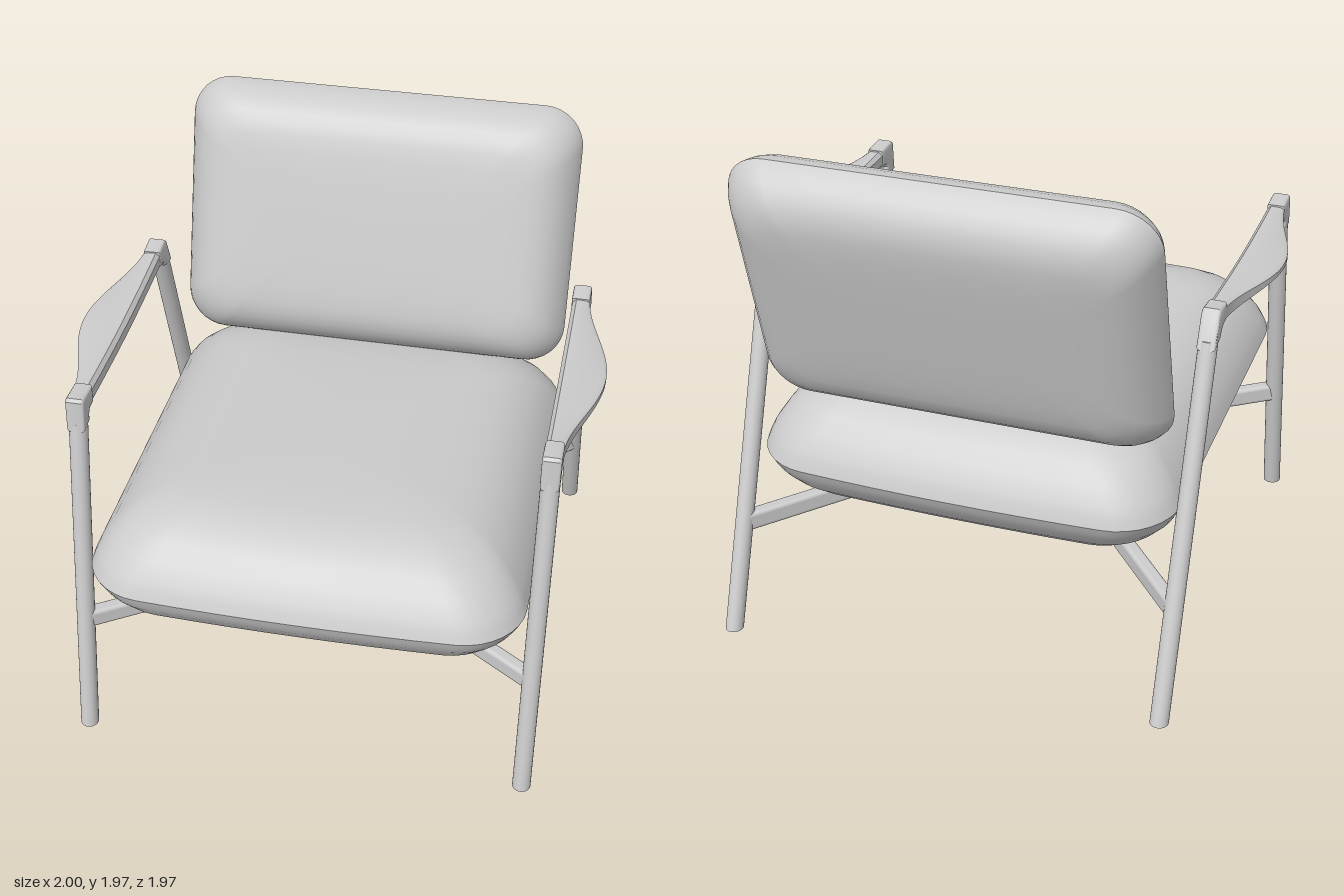
import * as THREE from 'three';
import { mergeGeometries, toCreasedNormals } from 'three/addons/utils/BufferGeometryUtils.js';
import { RoundedBoxGeometry } from 'three/addons/geometries/RoundedBoxGeometry.js';

const V = (x, y, z) => new THREE.Vector3(x, y, z);

// Skin a list of equal-length rings; the ends are closed with fans
function loft(rings, { flip = false, startCap = false } = {}) {
  const n = rings[0].length, pts = rings.flat(), index = [];
  const tri = (a, b, c) => index.push(...(flip ? [a, c, b] : [a, b, c]));
  for (let i = 0; i < rings.length - 1; i++) {
    for (let j = 0; j < n; j++) {
      const k = (j + 1) % n, a = i * n + j, b = i * n + k;
      tri(a, b, a + n);
      tri(b, b + n, a + n);
    }
  }
  const cap = (ring, base, reverse) => {
    const c = ring.reduce((s, p) => s.add(p), V(0, 0, 0)).divideScalar(n);
    const ci = pts.push(c) - 1;
    for (let j = 0; j < n; j++) {
      const a = base + j, b = base + (j + 1) % n;
      reverse ? tri(b, a, ci) : tri(a, b, ci);
    }
  };
  cap(rings.at(-1), (rings.length - 1) * n, false);
  if (startCap) cap(rings[0], 0, true);
  const geo = new THREE.BufferGeometry().setFromPoints(pts);
  geo.setIndex(index);
  geo.computeVertexNormals();
  return geo;
}

// Rounded rectangle outline with subdivided sides, as [u, v] pairs
function roundedRect(a, b, r) {
  const out = [], steps = 8;
  const corner = (k, i) => {
    const t = (k + i / steps) * Math.PI / 2;
    const sx = k === 0 || k === 3 ? 1 : -1, sy = k < 2 ? 1 : -1;
    return [sx * (a - r) + r * Math.cos(t), sy * (b - r) + r * Math.sin(t)];
  };
  for (let k = 0; k < 4; k++) {
    for (let i = 0; i <= steps; i++) out.push(corner(k, i));
    const p = corner(k, steps), q = corner((k + 1) % 4, 0);
    for (let i = 1; i < steps; i++) {
      const t = i / steps;
      out.push([p[0] + (q[0] - p[0]) * t, p[1] + (q[1] - p[1]) * t]);
    }
  }
  return out;
}

// Cushion swelling up and down from a crisp seam
const SWELL = [[0, 0], [0.012, 0.12], [0.03, 0.26], [0.07, 0.47], [0.12, 0.65], [0.18, 0.79],
  [0.25, 0.89], [0.33, 0.945], [0.45, 0.98], [0.6, 0.995], [0.78, 1]];
function cushion(a, b, r, up, down, insetScale, bulge) {
  const half = (h) => loft(SWELL.map(([d, f]) => {
    const inset = d * insetScale;
    const w = a - inset, l = b - inset;
    const rad = Math.min(Math.max(0.1, r - inset * 0.3), w * 0.95, l * 0.95);
    return roundedRect(w, l, rad).map(([u, v]) =>
      V(u, h * f, -v - bulge * (1 - (u / a) ** 2) * v / b));
  }), { flip: h < 0 });
  return mergeGeometries([half(up), half(-down)]);
}

// Round leg with level ends, slanted from z0 on the floor to z1 at the top
function leg(z0, z1, height, radius) {
  const geo = new THREE.CylinderGeometry(radius, radius, height, 24);
  geo.translate(0, height / 2, 0);
  const p = geo.attributes.position;
  for (let i = 0; i < p.count; i++) {
    p.setZ(i, p.getZ(i) * 1.04 + z0 + (z1 - z0) * p.getY(i) / height);
  }
  geo.computeVertexNormals();
  return geo;
}

// Armrest: square at the ends, flaring outward to a thin wing in the middle
function armrest(side) {
  const rings = [], n = 32, z0 = -0.43, z1 = 0.645;
  for (let i = 0; i <= n; i++) {
    const t = i / n, z = z0 + (z1 - z0) * t;
    const s = THREE.MathUtils.clamp((z - 0.1) / 0.5, -1, 1);
    const b = 0.5 + 0.5 * Math.cos(Math.PI * s), q = Math.sin(Math.PI * t);
    const xi = 0.828, xo = 0.893 + 0.107 * b;
    const yt = 1.437 - 0.019 * q, yb = 1.365 - 0.017 * q;
    const tipLow = THREE.MathUtils.lerp(yb + 0.014, yt - 0.03, b);
    rings.push([
      [xi, yb + 0.015], [xi + 0.015, yb], [0.878 + 0.01 * b, yb],
      [THREE.MathUtils.lerp(0.888, 0.935, b), THREE.MathUtils.lerp(yb + 0.006, yb + 0.02, b)],
      [xo, tipLow], [xo, yt - 0.012], [xo - 0.014, yt - 0.002],
      [xi + 0.015, yt], [xi, yt - 0.015],
    ].map(([x, y]) => V(side * x, y, z)));
  }
  return toCreasedNormals(loft(rings, { flip: side < 0, startCap: true }), 0.65);
}

// Elbow between leg and armrest, drawn in the side plane as [z, y]
function elbow(points) {
  const shape = new THREE.Shape(points.map(([z, y]) => new THREE.Vector2(z, y)));
  const geo = new THREE.ExtrudeGeometry(shape, {
    depth: 0.046, bevelThickness: 0.012, bevelSize: 0.012, bevelOffset: -0.012, bevelSegments: 3,
  });
  geo.translate(0, 0, -0.023);
  geo.rotateY(-Math.PI / 2);
  return toCreasedNormals(geo, 0.7);
}

const FRONT_ELBOW = [[0.676, 1.31], [0.668, 1.435], [0.655, 1.445], [0.55, 1.437],
  [0.55, 1.365], [0.595, 1.362], [0.607, 1.345], [0.604, 1.32]].reverse();
const REAR_ELBOW = [[-0.505, 1.31], [-0.43, 1.325], [-0.41, 1.35], [-0.39, 1.362],
  [-0.35, 1.365], [-0.35, 1.437], [-0.435, 1.445], [-0.455, 1.43]];

export function createModel() {
  const model = new THREE.Group();
  model.name = 'armchair';
  const grey = new THREE.MeshStandardMaterial({ color: 0xcccccc });
  grey.name = 'light grey';
  const add = (name, geo, x = 0, y = 0, z = 0) => {
    const mesh = new THREE.Mesh(geo, grey);
    mesh.name = name;
    mesh.position.set(x, y, z);
    model.add(mesh);
    return mesh;
  };

  // Cushions
  add('seatCushion', cushion(0.82, 0.88, 0.23, 0.285, 0.25, 1, 0.03), 0, 0.745, 0.07)
    .rotation.x = -0.05;
  add('backCushion', cushion(0.79, 0.53, 0.16, 0.172, 0.172, 0.55, 0), 0, 1.463, -0.73)
    .rotation.x = Math.PI / 2 - 0.286;

  // Side frames
  for (const side of [1, -1]) {
    const label = side > 0 ? 'left' : 'right';
    add(label + 'FrontLeg', leg(0.862, 0.638, 1.34, 0.035), side * 0.86);
    add(label + 'RearLeg', leg(-0.93, -0.462, 1.34, 0.035), side * 0.86);
    add(label + 'FrontElbow', elbow(FRONT_ELBOW), side * 0.86);
    add(label + 'RearElbow', elbow(REAR_ELBOW), side * 0.86);
    add(label + 'Armrest', armrest(side));
  }

  // Under-seat frame: a rectangle with a spoke to each leg, sloping down to the back
  const railPoint = (x, z) => V(x, 0.446 + 0.0526 * z, z);
  const beam = (name, p, q) => {
    const geo = new RoundedBoxGeometry(0.055, 0.076, p.distanceTo(q) + 0.03, 3, 0.016);
    const mid = p.clone().add(q).multiplyScalar(0.5);
    add(name, geo, mid.x, mid.y, mid.z).lookAt(q);
  };
  const X = 0.41, ZF = 0.47, ZR = -0.28;
  beam('frontRail', railPoint(-X, ZF), railPoint(X, ZF));
  beam('rearRail', railPoint(-X, ZR), railPoint(X, ZR));
  for (const side of [1, -1]) {
    const label = side > 0 ? 'left' : 'right';
    beam(label + 'SideRail', railPoint(side * X, ZR), railPoint(side * X, ZF));
    beam(label + 'FrontSpoke', railPoint(side * X, ZF), railPoint(side * 0.85, 0.775));
    beam(label + 'RearSpoke', railPoint(side * X, ZR), railPoint(side * 0.85, -0.78));
  }
  return model;
}
